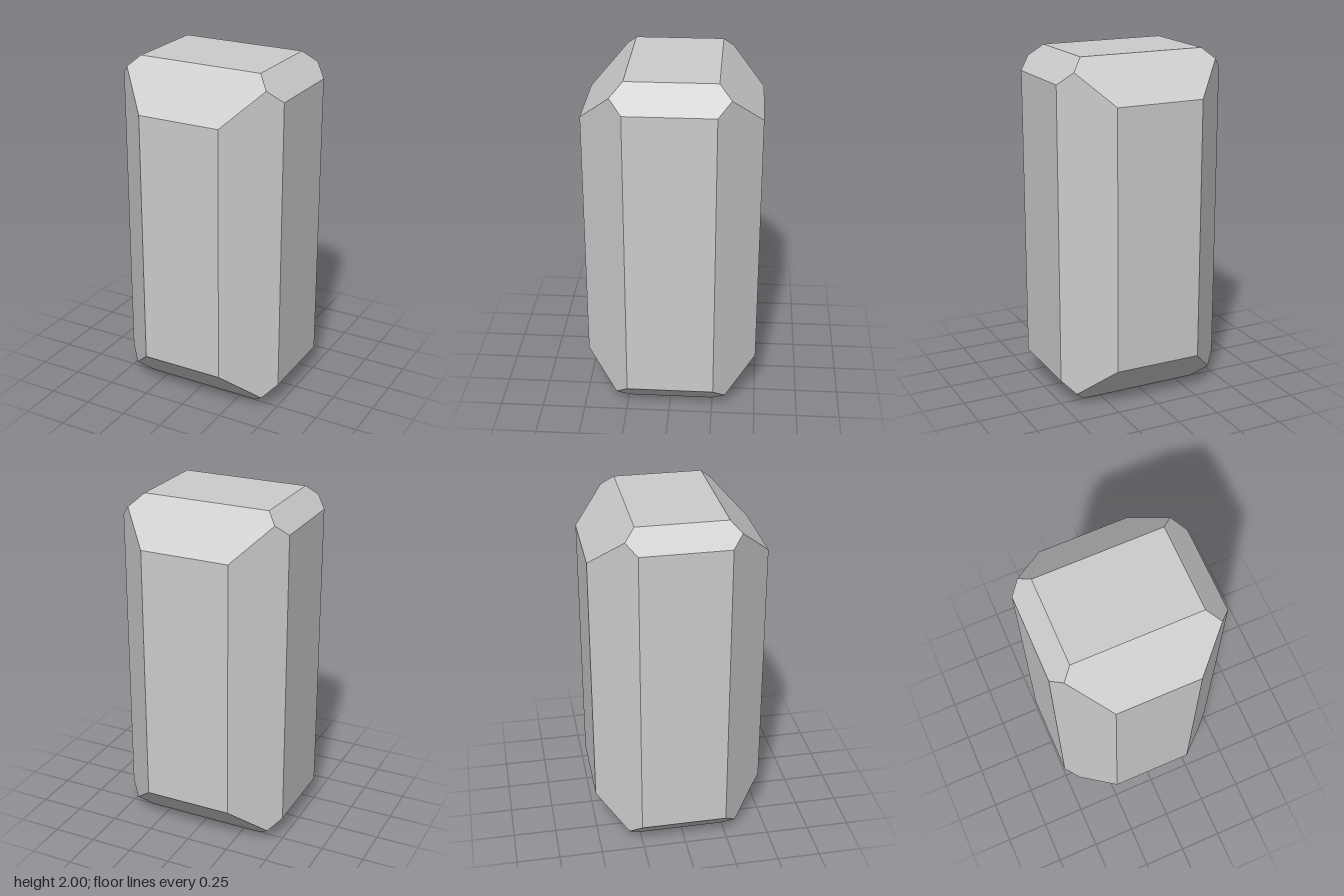
import * as THREE from 'three';
import { ConvexGeometry } from 'three/addons/geometries/ConvexGeometry.js';

// Each face plane is [nx, ny, nz, d]: the solid keeps nx*x + ny*y + nz*z <= d.
const PLANES = [
  // main box faces
  [1, 0, 0, 0.5], [-1, 0, 0, 0.5],
  [0, 1, 0, 2], [0, -1, 0, 0],
  [0, 0, 1, 0.5], [0, 0, -1, 0.5],
  // bevels on the upright edges
  [1, 0, 1, 0.745], [-1, 0, 1, 0.742],
  [1, 0, -1, 0.757], [-1, 0, -1, 0.759],
  // wide bevels along the front and back rims
  [0, 1, 1, 2.247], [0, 1, -1, 2.26],
  [0, -1, 1, 0.245], [0, -1, -1, 0.25],
  // narrow bevels along the side rims
  [1, 1, 0, 2.36], [-1, 1, 0, 2.382],
  [1, -1, 0, 0.356], [-1, -1, 0, 0.357],
];

// Corners are the plane triples' meeting points that lie inside every plane.
function cornersOf(planes) {
  const corners = [];
  const normals = planes.map(([x, y, z]) => new THREE.Vector3(x, y, z));
  const n = planes.length;
  for (let i = 0; i < n; i++) for (let j = i + 1; j < n; j++) for (let k = j + 1; k < n; k++) {
    const jk = normals[j].clone().cross(normals[k]);
    const det = normals[i].dot(jk);
    if (Math.abs(det) < 1e-6) continue;
    const p = jk.multiplyScalar(planes[i][3])
      .addScaledVector(normals[k].clone().cross(normals[i]), planes[j][3])
      .addScaledVector(normals[i].clone().cross(normals[j]), planes[k][3])
      .divideScalar(det);
    const inside = planes.every((q, m) => normals[m].dot(p) <= q[3] + 1e-6);
    if (inside && !corners.some((c) => c.distanceTo(p) < 1e-5)) corners.push(p);
  }
  return corners;
}

export function createModel() {
  const group = new THREE.Group();
  group.name = 'bevelledBlock';
  const block = new THREE.Mesh(
    new ConvexGeometry(cornersOf(PLANES)),
    new THREE.MeshStandardMaterial({ color: 0xcccccc, flatShading: true })
  );
  block.name = 'block';
  group.add(block);
  return group;
}
